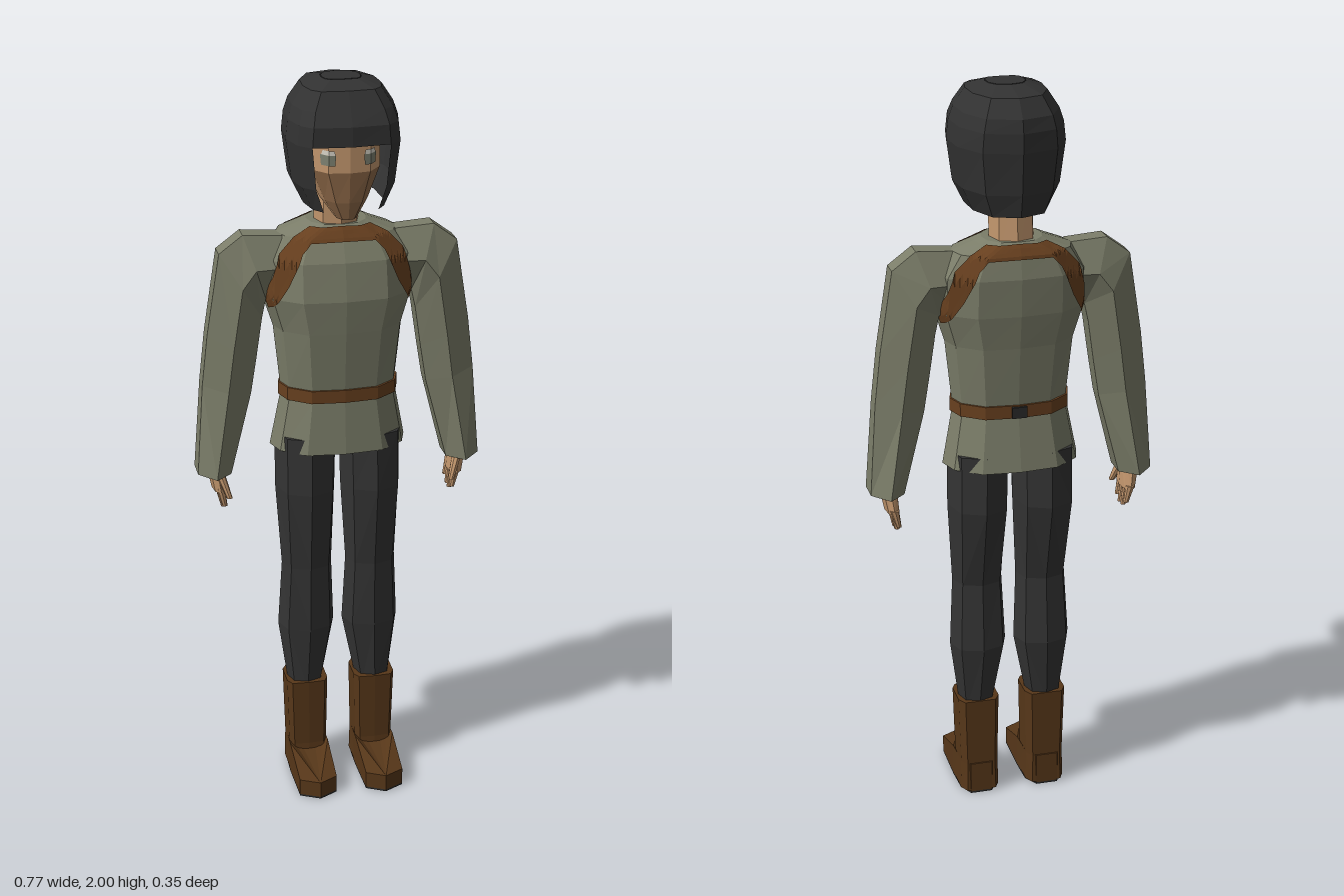
import * as THREE from 'three';

const mat = (name, color, double) => {
  const m = new THREE.MeshStandardMaterial({ color });
  m.name = name;
  m.flatShading = true;
  if (double) m.side = THREE.DoubleSide;
  return m;
};

// Half outlines (x, z factors) from front to back; closed by mirroring
const BODY = [[0, 1], [0.55, 0.92], [0.9, 0.5], [1, 0], [0.9, -0.5], [0.55, -0.92], [0, -1]];
const OCT = [[0, 1], [0.75, 0.75], [1, 0], [0.75, -0.75], [0, -1]];
const BOX = [[0, 1], [0.8, 0.95], [1, 0.6], [1, -0.6], [0.75, -1], [0, -1]];
const HAIR = [[0, 0.15], [0.1, 0.14], [0.132, 0.105], [0.148, 0.03], [0.142, -0.065], [0.097, -0.148], [0, -0.178]];

const closeHalf = (half) => half.concat(half.slice(1, -1).reverse().map(([x, z]) => [-x, z]));

// Horizontal ring between x0..x1 and zBack..zFront
const ring = (half, y, x0, x1, zf, zb) => closeHalf(half).map(([x, z]) => new THREE.Vector3(
  (x0 + x1) / 2 + x * (x1 - x0) / 2, y, (zf + zb) / 2 + z * (zf - zb) / 2));

// Skin a stack of rings; side = -1 mirrors across x, keep() can drop panels
function loft(rings, { side = 1, closed = true, caps = true, keep = () => true } = {}) {
  const pos = [];
  const tri = (a, b, c) => {
    for (const p of side > 0 ? [a, b, c] : [a, c, b]) pos.push(p.x * side, p.y, p.z);
  };
  const n = rings[0].length;
  for (let i = 0; i < rings.length - 1; i++) {
    for (let j = 0; j < (closed ? n : n - 1); j++) {
      if (!keep(i, j)) continue;
      const k = (j + 1) % n, a = rings[i], b = rings[i + 1];
      tri(a[j], a[k], b[k]);
      tri(a[j], b[k], b[j]);
    }
  }
  if (caps) {
    const lo = rings[0], hi = rings[rings.length - 1];
    for (let j = 1; j < n - 1; j++) {
      tri(lo[0], lo[j + 1], lo[j]);
      tri(hi[0], hi[j], hi[j + 1]);
    }
  }
  const g = new THREE.BufferGeometry();
  g.setAttribute('position', new THREE.Float32BufferAttribute(pos, 3));
  g.computeVertexNormals();
  return g;
}

// Thin patch between two edge lines, laid on a mesh from the front (dir 1) or back (dir -1)
function patch(target, top, bottom, dir, lift) {
  const rings = [], ray = new THREE.Raycaster();
  const STEPS = 6, ROWS = 4;
  for (let s = 0; s <= (top.length - 1) * STEPS; s++) {
    const i = Math.min(Math.floor(s / STEPS), top.length - 2), f = s / STEPS - i;
    const at = (e, c) => e[i][c] + (e[i + 1][c] - e[i][c]) * f;
    rings.push(Array.from({ length: ROWS + 1 }, (_, r) => {
      const t = r / ROWS;
      const x = at(top, 0) * (1 - t) + at(bottom, 0) * t;
      const y = at(top, 1) * (1 - t) + at(bottom, 1) * t;
      ray.set(new THREE.Vector3(x, y, dir), new THREE.Vector3(0, 0, -dir));
      const hit = ray.intersectObject(target)[0];
      return new THREE.Vector3(x, y, hit ? hit.point.z + dir * lift : -0.05 + dir * 0.02);
    }));
  }
  return loft(rings, { closed: false, caps: false });
}

export function createModel() {
  const M = {
    tunic: mat('tunic cloth', 0x7b7d69),
    trousers: mat('trouser cloth', 0x343434),
    hair: mat('hair', 0x323232, true),
    boot: mat('boot leather', 0x573719),
    strap: mat('strap leather', 0x68401f, true),
    skin: mat('skin', 0xc2966d),
    mask: mat('lower face', 0x8f6a49),
    eye: mat('eye', 0x7c8070, true),
    white: mat('eye white', 0xd8d4c8, true),
    dark: mat('sole', 0x2a2a2a),
  };
  const root = new THREE.Group();
  const add = (name, geo, material) => {
    const m = new THREE.Mesh(geo, material);
    m.name = name;
    root.add(m);
    return m;
  };
  const sym = (half, y, r, zf, zb) => ring(half, y, -r, r, zf, zb);

  // Tunic body
  const torso = add('tunic', loft([
    [0.99, 0.185, 0.072, -0.165], [1.135, 0.157, 0.06, -0.138], [1.17, 0.157, 0.06, -0.138],
    [1.33, 0.174, 0.075, -0.152], [1.42, 0.203, 0.082, -0.164], [1.52, 0.2, 0.065, -0.168],
    [1.58, 0.16, 0.035, -0.155], [1.602, 0.1, 0.02, -0.14], [1.61, 0.08, 0.012, -0.132],
  ].map((s) => sym(BODY, ...s))), M.tunic);

  // Belt with a small clasp at the back
  add('belt', loft([sym(BODY, 1.135, 0.162, 0.066, -0.144), sym(BODY, 1.17, 0.162, 0.066, -0.144)]), M.strap);
  const clasp = add('beltClasp', new THREE.BoxGeometry(0.04, 0.03, 0.009), M.dark);
  clasp.position.set(0, 1.152, -0.146);

  // Harness straps, front and back
  const upper = [[0, 1.608], [0.08, 1.604], [0.125, 1.582], [0.164, 1.54], [0.2, 1.42]];
  const lower = [[0, 1.572], [0.085, 1.57], [0.108, 1.545], [0.145, 1.46], [0.188, 1.385]];
  for (const dir of [1, -1]) {
    for (const side of [1, -1]) {
      const flip = (e) => e.map(([x, y]) => [x * side, y]);
      add('harnessStrap', patch(torso, flip(upper), flip(lower), dir, 0.007), M.strap);
    }
  }

  // Neck and head, lower face in its own colour
  add('neck', loft([sym(OCT, 1.57, 0.06, 0.008, -0.13), sym(OCT, 1.76, 0.058, 0.022, -0.11)]), M.skin);
  const headRings = [
    [1.648, 0.028, 0.1, 0.02], [1.695, 0.062, 0.112, -0.06], [1.775, 0.098, 0.12, -0.1], [1.91, 0.1, 0.12, -0.1],
  ].map((s) => sym(BODY, ...s));
  const isMask = (i, j) => i < 2 && (j < 2 || j > 9);
  const head = add('head', loft(headRings, { keep: (i, j) => !isMask(i, j) }), M.skin);
  add('lowerFace', loft(headRings, { caps: false, keep: isMask }), M.mask);

  // Hair: closed crown, open in front of the face
  add('hair', loft([
    [1.68, 0.7, 0.93, 0.88], [1.74, 0.9, 0.96, 0.95], [1.85, 1, 1, 1],
    [1.9, 0.96, 0.99, 1], [1.935, 0.88, 0.85, 0.96], [1.98, 0.68, 0.66, 0.76], [1.997, 0.35, 0.3, 0.3],
  ].map(([y, kx, kf, kb]) => closeHalf(HAIR).map(([x, z]) => new THREE.Vector3(x * kx, y, z * (z > 0 ? kf : kb)))), {
    keep: (i, j) => i > 1 || (j !== 0 && j !== 11),
    caps: false,
  }), M.hair);
  add('hairTop', loft([
    [1.99, 0.35, 0.3], [1.998, 0.34, 0.29],
  ].map(([y, kx, kz]) => closeHalf(HAIR).map(([x, z]) => new THREE.Vector3(x * kx, y, z * kz)))), M.hair);

  for (const side of [1, -1]) {
    const put = (name, rings, material) => add(name, loft(rings, { side }), material);

    // Eyes
    const line = (x0, x1, y) => [[x0 * side, y], [x1 * side, y]];
    add('eye', patch(head, line(0.036, 0.072, 1.822), line(0.038, 0.07, 1.795), 1, 0.004), M.eye);
    add('eyeWhite', patch(head, line(0.04, 0.066, 1.834), line(0.037, 0.07, 1.822), 1, 0.004), M.white);

    // Sleeve: six-sided rings from cuff to shoulder (outer x, y, inner x, y, half depth)
    put('sleeve', [
      [0.386, 0.93, 0.296, 0.925, 0.08], [0.368, 1.18, 0.238, 1.15, 0.062], [0.352, 1.32, 0.222, 1.25, 0.063],
      [0.317, 1.54, 0.206, 1.36, 0.066], [0.254, 1.587, 0.195, 1.41, 0.064], [0.15, 1.58, 0.15, 1.42, 0.06],
    ].map(([ox, oy, ix, iy, d]) => [[0.5, 1], [1, 0.42], [1, -0.42], [0.5, -1], [0, -0.42], [0, 0.42]].map(
      ([t, z]) => new THREE.Vector3(ix + (ox - ix) * t, iy + (oy - iy) * t, -0.045 + z * d))), M.tunic);

    // Hand with fingers and thumb
    put('palm', [
      ring(OCT, 0.875, 0.307, 0.345, 0.0, -0.1), ring(OCT, 0.95, 0.312, 0.36, -0.01, -0.085),
    ], M.skin);
    [[-0.09, 0.838], [-0.065, 0.822], [-0.04, 0.82], [-0.015, 0.832]].forEach(([z, y]) => put('finger', [
      ring(OCT, y, 0.308, 0.322, z + 0.008, z - 0.008), ring(OCT, 0.885, 0.314, 0.338, z + 0.012, z - 0.012),
    ], M.skin));
    put('thumb', [
      ring(OCT, 0.865, 0.298, 0.314, 0.02, 0.002), ring(OCT, 0.93, 0.315, 0.34, 0.006, -0.03),
    ], M.skin);

    // Trouser leg
    put('trouserLeg', [
      [0.26, 0.05, 0.142, 0.015, -0.088], [0.45, 0.012, 0.168, 0.03, -0.115], [0.64, 0.02, 0.158, 0.036, -0.1],
      [0.87, 0.008, 0.172, 0.064, -0.152], [1.03, 0.004, 0.172, 0.06, -0.15],
    ].map((s) => ring(OCT, ...s)), M.trousers);

    // Boot shaft, foot and sole
    put('bootShaft', [
      ring(BOX, 0.008, 0.04, 0.148, 0.03, -0.1), ring(BOX, 0.09, 0.042, 0.146, 0.022, -0.095),
      ring(BOX, 0.285, 0.038, 0.152, 0.024, -0.094),
    ], M.boot);
    const foot = (y) => [[0.093, 0.176], [0.146, 0.148], [0.148, 0.015], [0.145, -0.06], [0.125, -0.1],
      [0.065, -0.1], [0.042, -0.06], [0.04, 0.015], [0.042, 0.148]].map(
      ([x, z]) => new THREE.Vector3(x, y ?? (z > 0.1 ? 0.05 : 0.092), z));
    put('bootFoot', [foot(0.005), foot()], M.boot);
    put('sole', [foot(0), foot(0.005)], M.dark);
  }
  return root;
}
